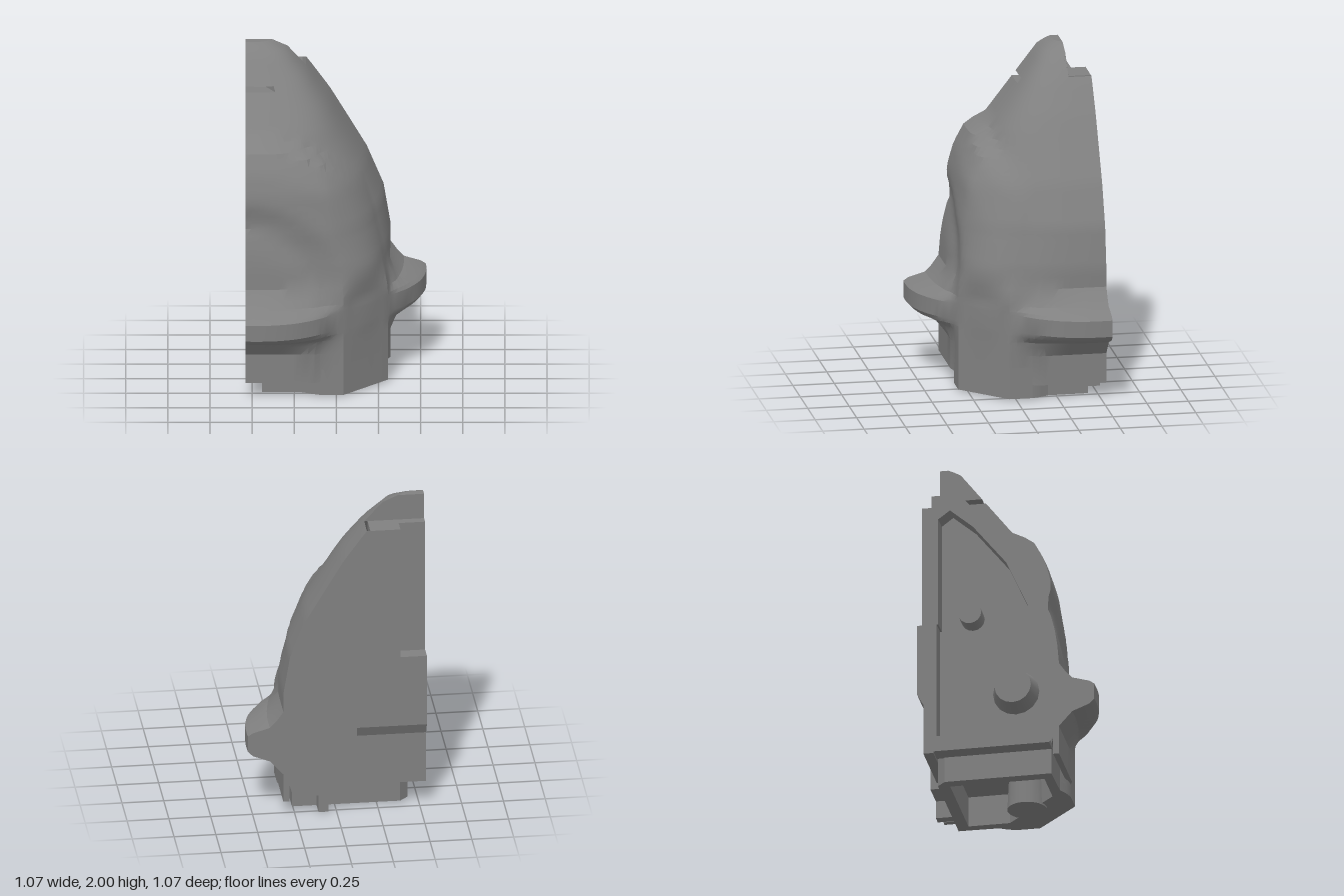
import * as THREE from 'three';
import { toCreasedNormals } from 'three/addons/utils/BufferGeometryUtils.js';

const C = -0.538; // both cut planes meet on the vertical line x = z = C
const DEPTH = 0.11; // depth of the side pocket
const CORNER = 34.6; // angle where the column's chamfer begins
const mat = new THREE.MeshStandardMaterial({ color: 0x808080, side: THREE.DoubleSide });

// Piecewise-linear lookup in a list of [input, output]
function lin(pts, v) {
  if (v <= pts[0][0]) return pts[0][1];
  for (let i = 1; i < pts.length; i++) {
    const [a, p] = pts[i - 1], [b, q] = pts[i];
    if (v <= b) return p + (q - p) * (v - a) / (b - a);
  }
  return pts[pts.length - 1][1];
}

// Side extent, front extent and squareness of the dome by height
const sideX = [[0.68, 0.32], [0.8, 0.32], [1.04, 0.28], [1.28, 0.18], [1.5, 0.05], [1.65, -0.04], [1.83, -0.17], [1.96, -0.29], [2, -0.38]];
const frontZ = [[0.68, 0.32], [0.8, 0.31], [1, 0.28], [1.25, 0.2], [1.53, 0.06], [1.97, -0.28], [2, -0.35]];
const square = [[0.6, 3.6], [1, 2.9], [1.5, 3.2], [1.8, 4], [2, 4]];
// Arched brow: bulge by distance from the arch centre
const brow = [[0.3, 0], [0.44, -0.015], [0.52, 0.015], [0.58, 0.05], [0.77, 0.09], [0.9, 0.085], [0.95, 0]];
// Flange reach by height, and its outer edge by angle
const flange = [[0.27, 0], [0.36, 0.38], [0.4, 0.86], [0.43, 1], [0.53, 1], [0.55, 0.86], [0.58, 0.38], [0.62, 0.2], [0.68, 0]];
const flangeEdge = [[0, 1.07], [9, 1.08], [15.5, 1.077], [20, 1.065], [24.6, 1.05], [27.3, 1.036], [30.5, 1.02], [CORNER, 1.015]];

// Distance of the outer surface from the corner line; deg runs from front to side
function radius(deg, y, cut) {
  const t = deg * Math.PI / 180, s = Math.sin(t), c = Math.cos(t);
  const fromEnd = Math.min(deg, 90 - deg);
  const low = Math.min((fromEnd > 27 ? 0.843 : 0.858) / Math.max(c, s), 1.425 / (c + s));
  const a = lin(sideX, y) - C, b = lin(frontZ, y) - C, n = lin(square, y);
  let dome = Math.pow(Math.pow(s / a, n) + Math.pow(c / b, n), -1 / n);
  dome += lin(brow, Math.hypot(dome * s, y - 0.6)) * lin([[33, 1], [60, 0]], deg);
  let r = low + (dome - low) * lin([[0.6, 0], [0.75, 1]], y);
  r += Math.max(0, lin(flangeEdge, fromEnd) - r) * lin(flange, y);
  if (cut === 'lip') r -= lin([[24, 0.065], [27.1, 0]], fromEnd);
  if (cut === 'groove') r -= lin([[24, 0.035], [27.1, 0]], fromEnd);
  if (cut === 'slot' && deg < 21) r -= 0.1;
  return r;
}

function add(group, name, geo) {
  const m = new THREE.Mesh(geo, mat);
  m.name = name;
  group.add(m);
  return m;
}

function box(group, name, x0, x1, y0, y1, z0, z1) {
  const g = new THREE.BoxGeometry(x1 - x0, y1 - y0, z1 - z0);
  g.translate((x0 + x1) / 2, (y0 + y1) / 2, (z0 + z1) / 2);
  return add(group, name, g);
}

const shapeOf = pts => new THREE.Shape(pts.map(p => new THREE.Vector2(p[0], p[1])));

export function createModel() {
  const g = new THREE.Group();
  g.name = 'quarterShell';

  // Heights of the rows; doubled rows make steps, and the groove runs up behind the skirt
  const rows = [[0.01, 'lip'], [0.2, 'lip'], [0.2, 'groove'], [0.09, 'groove'], [0.09], [0.27], [0.33], [0.36], [0.4], [0.43], [0.53], [0.55], [0.58], [0.62], [0.68], [0.75]];
  for (let y = 0.8; y < 1.75; y += 0.04) rows.push([y]);
  rows.push([1.765], [1.765, 'slot'], [1.795, 'slot'], [1.795], [1.84], [1.84, 'peak'], [1.9, 'peak'], [1.96, 'peak'], [1.985, 'peak'], [2, 'peak']);
  const degs = [], chamfer = 90 - 2 * CORNER;
  for (let i = 0; i < 15; i++) degs.push(CORNER * i / 15);
  for (let i = 0; i < 8; i++) degs.push(CORNER + chamfer * i / 8);
  for (let i = 0; i <= 15; i++) degs.push(90 - CORNER + CORNER * i / 15);

  // Outer surface
  const grid = rows.map(([y, cut]) => degs.map(d => {
    const r = radius(d, y, cut), t = d * Math.PI / 180;
    let x = C + r * Math.sin(t), z = C + r * Math.cos(t);
    if (cut === 'peak') z = Math.max(z, -0.4);
    if (cut === 'lip') { x = Math.max(x, -0.44); z = Math.max(z, -0.44); }
    return [x, y, z];
  }));
  const idx = [], w = degs.length;
  for (let i = 0; i < rows.length - 1; i++) {
    for (let j = 0; j < w - 1; j++) {
      const a = i * w + j, b = a + 1, c = a + w, d = c + 1;
      idx.push(a, b, d, a, d, c);
    }
  }
  const skin = new THREE.BufferGeometry();
  skin.setAttribute('position', new THREE.Float32BufferAttribute(grid.flat(2), 3));
  skin.setIndex(idx);
  add(g, 'outerShell', toCreasedNormals(skin, 0.45));

  // Peak cap and the wall behind it
  const top = grid[grid.length - 1];
  const cap = new THREE.ShapeGeometry(shapeOf([[C, -0.4], ...top.map(p => [p[0], p[2]])]));
  cap.rotateX(Math.PI / 2);
  add(g, 'peakCap', cap).position.y = 2;
  const peakRows = grid.filter((_, i) => rows[i][1] === 'peak');
  const peak = new THREE.ShapeGeometry(shapeOf([[C, 1.84], ...peakRows.map(r => [r[w - 1][0], r[w - 1][1]]), [C, 2]]));
  add(g, 'peakBackWall', peak).position.z = -0.4;

  // Flat back face
  const backEdge = grid.filter((_, i) => rows[i][1] !== 'peak' && rows[i][1] !== 'lip').map(r => [r[w - 1][0], r[w - 1][1]]);
  const back = new THREE.ShapeGeometry(shapeOf([...backEdge, [-0.38, 1.84], [-0.38, 1], [C, 1], [C, 0.55], [-0.12, 0.55], [-0.12, 0.12], [0.26, 0.12]]));
  add(g, 'backFace', back).position.z = C;

  // Set-in panel low on the back, under a sloping overhang
  const panel = new THREE.ExtrudeGeometry(
    shapeOf([[C, 0.55], [-0.5, 0.48], [-0.5, 0.16], [-0.44, 0.16], [-0.44, 0.55]]),
    { depth: -0.12 - C, bevelEnabled: false });
  panel.rotateY(-Math.PI / 2);
  add(g, 'lowerBackPanel', panel).position.x = -0.12;
  box(g, 'panelEnd', -0.12, -0.08, 0.12, 0.55, C, -0.44);
  box(g, 'backUnderside', -0.08, 0.26, 0.12, 0.2, C, -0.43);
  box(g, 'sideUnderside', C, -0.43, 0.17, 0.2, -0.5, 0.26);
  box(g, 'backFin', 0.05, 0.11, 0.01, 0.2, C, -0.43);

  // Channel along the corner and the ledges above it
  box(g, 'channelSideWall', -0.38, -0.34, 1, 1.84, C, -0.41);
  box(g, 'channelInnerWall', C, -0.36, 1, 1.84, -0.45, -0.41);
  box(g, 'channelLedge', C, -0.37, 0.92, 1, C, -0.44);
  box(g, 'topLedge', -0.38, -0.2, 1.79, 1.84, C, -0.4);
  box(g, 'topLedgeInner', C, -0.37, 1.79, 1.84, -0.45, -0.4);

  // Flat side face with a pocket
  const pocket = [[-0.42, 0.27], [0.1, 0.24], [0.21, 0.36], [0.22, 0.6], [0.2, 0.8], [0.13, 1.08], [0, 1.37], [-0.2, 1.62], [-0.34, 1.74], [-0.42, 1.68]];
  const sideEdge = grid.filter((_, i) => rows[i][1] !== 'lip').map(r => [r[0][2], r[0][1]]);
  const side = shapeOf([...sideEdge, [-0.4, 2], [-0.4, 1.84], [-0.45, 1.84], [-0.45, 1], [C, 1], [C, 0.55], [-0.5, 0.48], [-0.5, 0.17], [0.26, 0.17]]);
  side.holes.push(shapeOf(pocket));
  const sideGeo = new THREE.ShapeGeometry(side);
  sideGeo.rotateY(-Math.PI / 2);
  add(g, 'sideFace', sideGeo).position.x = C;

  const rim = shapeOf(pocket.map(([z, y]) => [-0.1 + (z + 0.1) * 1.04, 0.9 + (y - 0.9) * 1.02]));
  rim.holes.push(shapeOf(pocket));
  const rimGeo = new THREE.ExtrudeGeometry(rim, { depth: DEPTH - 0.002, bevelEnabled: false });
  rimGeo.rotateY(-Math.PI / 2);
  add(g, 'pocketWalls', rimGeo).position.x = C + DEPTH;
  const floor = new THREE.ShapeGeometry(shapeOf(pocket));
  floor.rotateY(-Math.PI / 2);
  add(g, 'pocketFloor', floor).position.x = C + DEPTH;

  // Locating posts in the pocket
  for (const [name, z, y, tip, base] of [['largePost', 0.04, 0.56, 0.11, 0.14], ['smallPost', -0.22, 1.06, 0.07, 0.07]]) {
    const p = new THREE.CylinderGeometry(tip, base, DEPTH, 16);
    p.rotateZ(Math.PI / 2);
    add(g, name, p).position.set(C + DEPTH / 2, y, z);
  }

  // Hollow base with a round foot under the column
  const cavity = [[-0.37, -0.37], [0.2, -0.37], [0.2, -0.12], [-0.12, 0.2], [-0.37, 0.2]];
  const base = shapeOf([[-0.44, -0.39], [-0.39, -0.44], ...grid[0].map(p => [p[0], p[2]]).reverse()]);
  base.holes.push(shapeOf(cavity));
  const baseGeo = new THREE.ExtrudeGeometry(base, { depth: 0.19, bevelEnabled: false });
  baseGeo.rotateX(Math.PI / 2);
  add(g, 'baseRim', baseGeo).position.y = 0.2;
  const ceiling = new THREE.ShapeGeometry(shapeOf(cavity));
  ceiling.rotateX(Math.PI / 2);
  add(g, 'cavityCeiling', ceiling).position.y = 0.2;
  add(g, 'roundFoot', new THREE.CylinderGeometry(0.11, 0.12, 0.2, 16)).position.set(0.02, 0.1, 0.02);
  return g;
}
